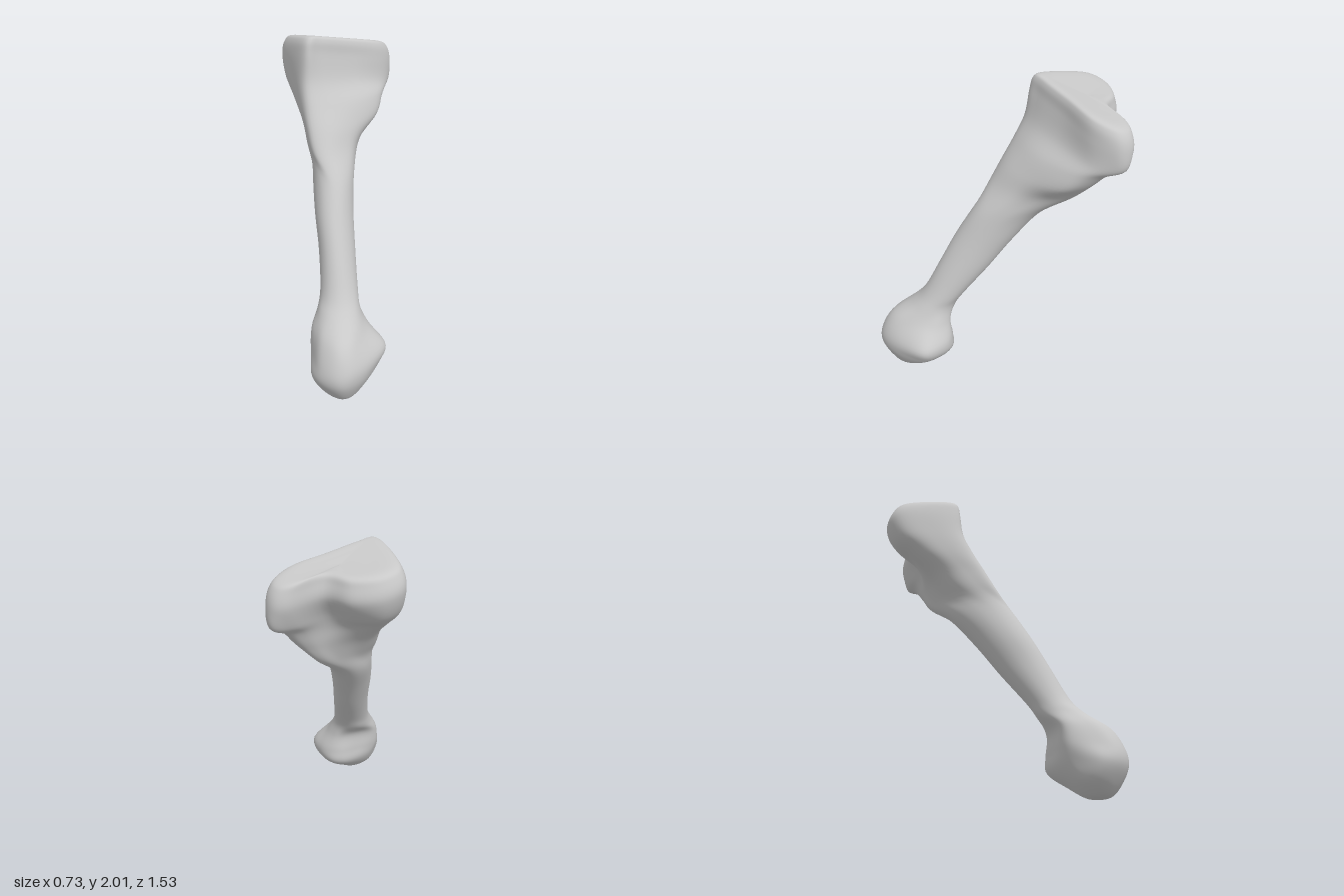
import * as THREE from 'three';
import { mergeVertices } from 'three/addons/utils/BufferGeometryUtils.js';

const SIDES = 12;

// Oval slice through the bone from its bounds, starting at the front and turning towards -x
function oval(y, x0, x1, z0, z1) {
  return Array.from({ length: SIDES }, (_, i) => {
    const a = (i / SIDES) * Math.PI * 2;
    return new THREE.Vector3(
      (x0 + x1) / 2 - ((x1 - x0) / 2) * Math.sin(a), y,
      (z0 + z1) / 2 + ((z1 - z0) / 2) * Math.cos(a));
  });
}

// Free-form slice from [x, z] points; tilt leans it towards the slope of the upper joint,
// scale shrinks it about the middle of that joint
function slice(y, points, tilt = 0, scale = 1) {
  return points.map(([px, pz]) => {
    const x = -0.03 + (px + 0.03) * scale, z = -0.52 + (pz + 0.52) * scale;
    return new THREE.Vector3(x, y - tilt * (0.05 * (x + 0.14) - 0.23 * (z + 0.34)), z);
  });
}
const flat = (y, points) => points.map(([x, z]) => new THREE.Vector3(x, y, z));

// Smooth closed skin through the slices, listed from bottom to top
function loft(rings, rows, cols) {
  const columns = Array.from({ length: SIDES }, (_, i) =>
    new THREE.CatmullRomCurve3(rings.map(r => r[i]), false, 'catmullrom', 0.5));
  const pos = [], index = [];
  for (let j = 0; j <= rows; j++) {
    const ring = new THREE.CatmullRomCurve3(
      columns.map(c => c.getPoint(j / rows)), true, 'catmullrom', 0.5);
    for (let i = 0; i < cols; i++) {
      const p = ring.getPoint(i / cols);
      pos.push(p.x, Math.max(0, p.y), p.z);
      if (j === rows) continue;
      const a = j * cols + i, b = j * cols + (i + 1) % cols;
      index.push(a, a + cols, b + cols, a, b + cols, b);
    }
  }
  let g = new THREE.BufferGeometry();
  g.setAttribute('position', new THREE.Float32BufferAttribute(pos, 3));
  g.setIndex(index);
  g = mergeVertices(g, 1e-5);
  g.computeVertexNormals();
  return g;
}

export function createModel() {
  const group = new THREE.Group();
  group.name = 'bone';
  const boneGrey = new THREE.MeshStandardMaterial({ color: 0xc8c8c8 });
  boneGrey.name = 'bone grey';

  // Three-cornered plate of the upper joint
  const plate = [[-0.19, -0.205], [-0.32, -0.4], [-0.37, -0.56], [-0.28, -0.67],
    [-0.12, -0.7], [0.04, -0.65], [0.2, -0.755], [0.29, -0.755],
    [0.33, -0.67], [0.26, -0.53], [0.08, -0.39], [-0.09, -0.25]];

  const lowerJoint = [
    oval(0, 0.11, 0.11, 0.575, 0.575),
    oval(0.015, 0.04, 0.18, 0.5, 0.66),
    flat(0.08, [[0.1, 0.72], [0.01, 0.68], [-0.04, 0.61], [-0.035, 0.53],
      [0, 0.47], [0.05, 0.43], [0.11, 0.405], [0.17, 0.41],
      [0.23, 0.46], [0.255, 0.53], [0.23, 0.61], [0.17, 0.69]]),
    flat(0.18, [[0.09, 0.765], [-0.02, 0.72], [-0.08, 0.63], [-0.07, 0.5],
      [-0.04, 0.42], [0.04, 0.34], [0.12, 0.285], [0.2, 0.28],
      [0.28, 0.34], [0.335, 0.45], [0.27, 0.62], [0.18, 0.73]]),
    flat(0.28, [[0.08, 0.75], [-0.02, 0.7], [-0.07, 0.6], [-0.095, 0.48],
      [-0.06, 0.41], [0.02, 0.35], [0.12, 0.28], [0.21, 0.27],
      [0.29, 0.32], [0.36, 0.44], [0.29, 0.59], [0.18, 0.72]]),
    flat(0.4, [[0.08, 0.68], [-0.01, 0.63], [-0.06, 0.55], [-0.09, 0.47],
      [-0.075, 0.41], [0, 0.36], [0.1, 0.3], [0.17, 0.285],
      [0.235, 0.35], [0.25, 0.44], [0.22, 0.55], [0.16, 0.65]]),
  ];

  const shaft = [
    oval(0.5, -0.06, 0.2, 0.245, 0.54),
    oval(0.6, -0.05, 0.18, 0.18, 0.45),
    oval(0.8, -0.07, 0.155, 0.02, 0.345),
    oval(1.0, -0.105, 0.135, -0.13, 0.24),
    oval(1.2, -0.13, 0.13, -0.3, 0.12),
  ];

  const upperJoint = [
    flat(1.35, [[-0.1, 0.02], [-0.15, -0.07], [-0.165, -0.17], [-0.13, -0.27],
      [-0.06, -0.36], [0, -0.42], [0.06, -0.47], [0.115, -0.47],
      [0.15, -0.39], [0.15, -0.27], [0.11, -0.11], [0, 0.01]]),
    flat(1.48, [[-0.14, -0.05], [-0.195, -0.17], [-0.205, -0.28], [-0.16, -0.38],
      [-0.06, -0.45], [0.04, -0.51], [0.12, -0.56], [0.19, -0.57],
      [0.24, -0.5], [0.25, -0.38], [0.13, -0.2], [-0.01, -0.07]]),
    slice(1.6, [[-0.17, -0.12], [-0.25, -0.27], [-0.28, -0.4], [-0.23, -0.5],
      [-0.11, -0.52], [0.03, -0.54], [0.15, -0.62], [0.235, -0.65],
      [0.285, -0.58], [0.27, -0.45], [0.12, -0.27], [-0.04, -0.15]], 0.2),
    slice(1.72, [[-0.19, -0.18], [-0.29, -0.34], [-0.345, -0.5], [-0.27, -0.61],
      [-0.13, -0.62], [0.03, -0.58], [0.18, -0.7], [0.28, -0.74],
      [0.325, -0.67], [0.28, -0.53], [0.1, -0.36], [-0.07, -0.22]], 0.7),
    slice(1.87, plate, 1),
    slice(1.955, plate, 1, 0.94),
    slice(1.99, plate, 1, 0.8),
    slice(1.99, plate, 1, 0.4),
    slice(1.985, plate, 1, 0),
  ];

  const bone = new THREE.Mesh(
    loft([...lowerJoint, ...shaft, ...upperJoint], 114, 72), boneGrey);
  bone.name = 'legBone';
  group.add(bone);
  return group;
}
